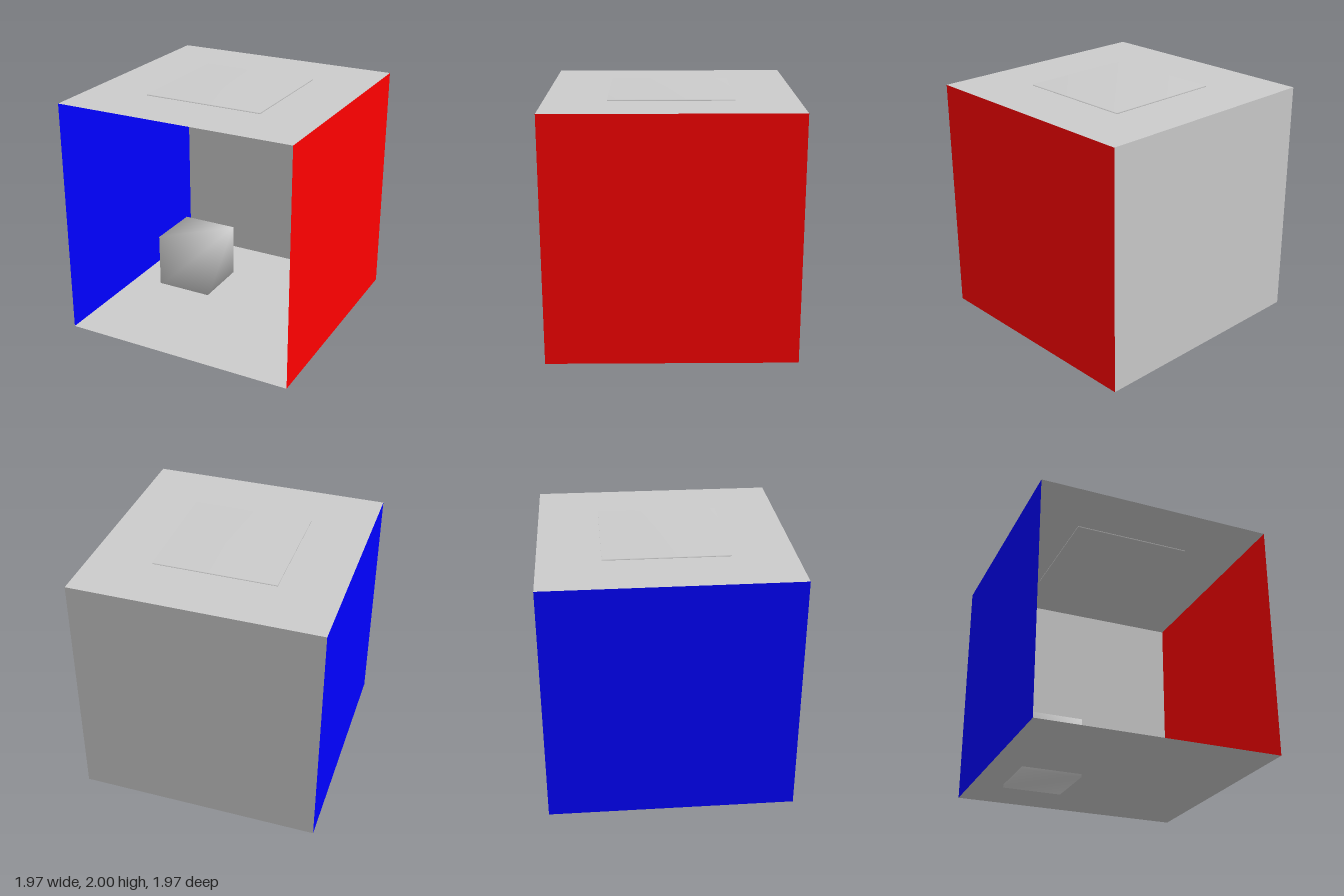
import * as THREE from 'three';
import { mergeVertices } from 'three/addons/utils/BufferGeometryUtils.js';

const HALF = 0.983;            // half the room's width and depth
const FLOOR = 0.025, CEILING = 1.99;
const HEIGHT = CEILING - FLOOR, MID = (CEILING + FLOOR) / 2;

export function createModel() {
  const model = new THREE.Group();
  model.name = 'room';

  const add = (name, geometry, color, position, rotation = [0, 0, 0], side = THREE.DoubleSide) => {
    const mesh = new THREE.Mesh(geometry, new THREE.MeshStandardMaterial({ color, side }));
    mesh.name = name;
    mesh.position.set(...position);
    mesh.rotation.set(...rotation);
    model.add(mesh);
  };

  // Box whose corners are shared, so its shading runs smoothly over the edges
  const smoothBox = (w, h, d) => {
    const box = new THREE.BoxGeometry(w, h, d);
    box.deleteAttribute('normal');
    box.deleteAttribute('uv');
    const merged = mergeVertices(box);
    merged.computeVertexNormals();
    return merged;
  };

  // Thin room shell, open at the front
  const wall = new THREE.PlaneGeometry(2 * HALF, HEIGHT);
  const slab = new THREE.PlaneGeometry(2 * HALF, 2 * HALF);
  const q = Math.PI / 2;
  add('floor', slab, 0xcccccc, [0, FLOOR, 0], [-q, 0, 0]);
  add('ceiling', slab, 0xcccccc, [0, CEILING, 0], [q, 0, 0]);
  add('backWall', wall, 0xcccccc, [0, MID, -HALF]);
  add('leftWall', wall, 0xff0000, [HALF, MID, 0], [0, -q, 0]);
  add('rightWall', wall, 0x0000ff, [-HALF, MID, 0], [0, q, 0]);

  // Flat lamp set through the ceiling
  add('ceilingLamp', smoothBox(0.983, 0.02, 0.983), 0xcccccc, [0, 1.99, 0], [0, 0, 0], THREE.FrontSide);

  // Cube sunk slightly into the floor
  add('cube', smoothBox(0.492, 0.492, 0.492), 0xcccccc, [-0.492, 0.246, -0.246], [0, 0, 0], THREE.FrontSide);

  return model;
}
